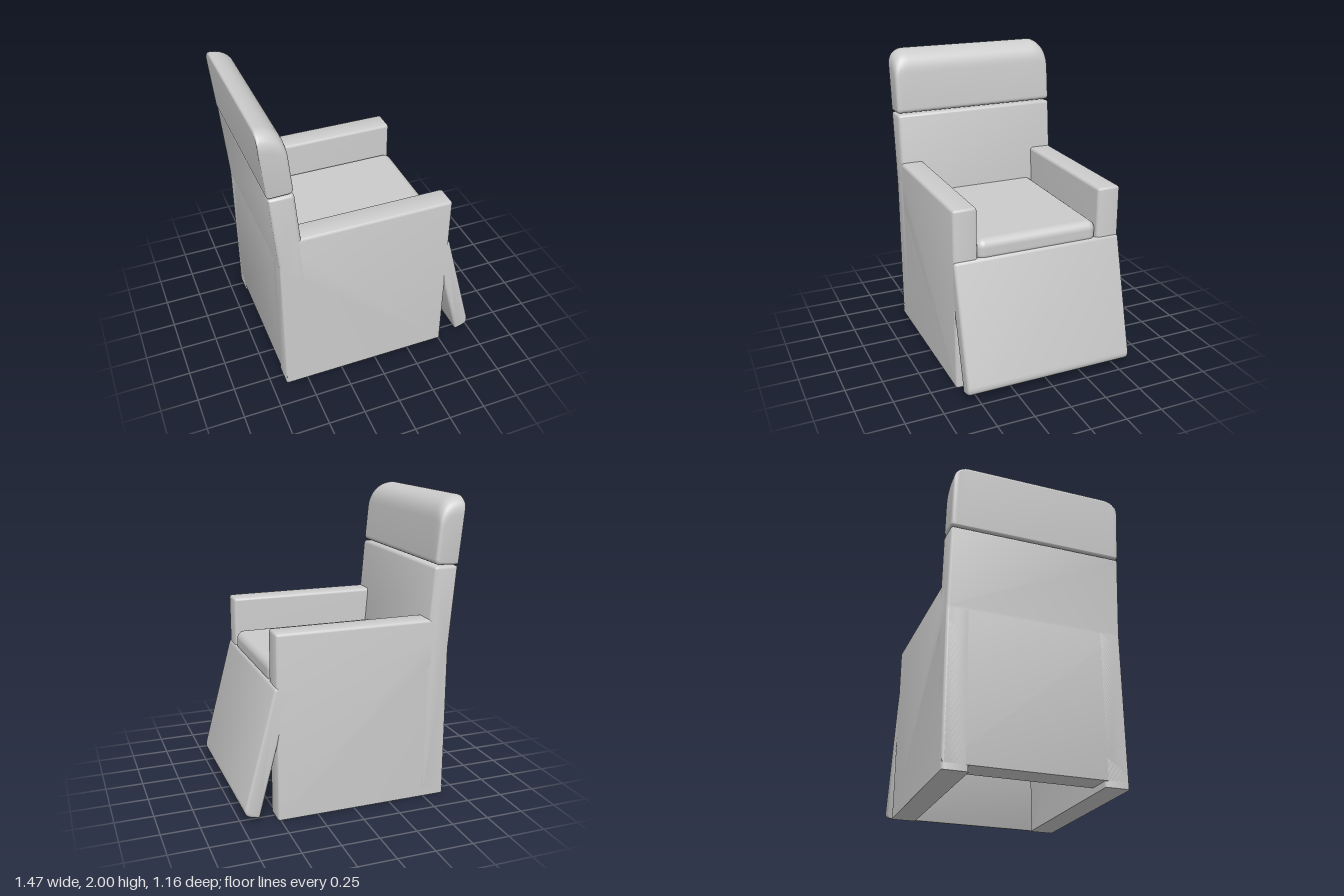
import * as THREE from 'three';
import { toCreasedNormals } from 'three/addons/utils/BufferGeometryUtils.js';
import { RoundedBoxGeometry } from 'three/addons/geometries/RoundedBoxGeometry.js';

const BEVEL = 0.02;
const HALF = 0.58; // half of the overall width

// Closed outline through [x, y, radius] corners
function roundedShape(corners) {
  const shape = new THREE.Shape();
  const n = corners.length;
  corners.forEach(([x, y, r], i) => {
    const p = new THREE.Vector2(x, y);
    const toward = (c) => new THREE.Vector2(c[0], c[1]).sub(p).setLength(r).add(p);
    const a = toward(corners[(i + n - 1) % n]);
    const b = toward(corners[(i + 1) % n]);
    if (i === 0) shape.moveTo(a.x, a.y);
    else shape.lineTo(a.x, a.y);
    shape.quadraticCurveTo(x, y, b.x, b.y);
  });
  shape.closePath();
  return shape;
}

// Side profile swept across z with softened edges; rule may move vertices
function slab(corners, z0, z1, rule, steps = 1) {
  const geometry = new THREE.ExtrudeGeometry(roundedShape(corners), {
    depth: z1 - z0 - 2 * BEVEL, steps, curveSegments: 8,
    bevelEnabled: true, bevelThickness: BEVEL, bevelSize: BEVEL,
    bevelOffset: -BEVEL, bevelSegments: 5,
  });
  geometry.translate(0, 0, z0 + BEVEL);
  if (rule) {
    const pos = geometry.attributes.position;
    const v = new THREE.Vector3();
    for (let i = 0; i < pos.count; i++) {
      rule(v.fromBufferAttribute(pos, i));
      pos.setXYZ(i, v.x, v.y, v.z);
    }
  }
  return toCreasedNormals(geometry, 0.6);
}

export function createModel() {
  const group = new THREE.Group();
  const material = new THREE.MeshStandardMaterial({ color: 0xcccccc });
  const add = (name, geometry) => {
    const mesh = new THREE.Mesh(geometry, material);
    mesh.name = name;
    group.add(mesh);
    return mesh;
  };

  // Side panels that serve as legs and armrests, cut flat at the floor
  const armProfile = [
    [-0.65, -BEVEL, 0.001], [0.515, -BEVEL, 0.001],
    [0.515, 1.225, 0.022], [-0.62, 1.225, 0.022], [-0.65, 1.02, 0.001],
  ];
  const flatten = (v) => { v.y = Math.max(0, v.y); };
  add('leftArm', slab(armProfile, 0.42, HALF, flatten));
  add('rightArm', slab(armProfile, -HALF, -0.42, flatten));

  // Backrest, upright below and leaning back above the seat
  add('backrest', slab([
    [-0.65, 0.04, 0.001], [-0.48, 0.04, 0.001], [-0.483, 0.95, 0.02],
    [-0.535, 1.565, 0.025], [-0.695, 1.56, 0.012], [-0.65, 1.02, 0.01],
  ], -HALF, HALF));

  // Headrest with rounded front top edge and rounded upper side corners
  const r = 0.1;
  const roundEnds = (v) => {
    const d = Math.min(r, Math.max(0, Math.abs(v.z) - (HALF - r)));
    const drop = r - Math.sqrt(r * r - d * d);
    v.y -= drop * THREE.MathUtils.clamp((v.y - 1.6) / 0.4, 0, 1);
  };
  add('headrest', slab([
    [-0.7, 1.567, 0.015], [-0.537, 1.572, 0.035],
    [-0.572, 1.99, 0.14], [-0.737, 2.002, 0.025],
  ], -HALF, HALF, roundEnds, 60));

  // Seat base and cushion between the arms
  add('seatBase', new THREE.BoxGeometry(0.94, 0.16, 0.86)).position.set(-0.04, 0.79, 0);
  add('seatCushion', new RoundedBoxGeometry(1.075, 0.15, 0.84, 6, 0.055))
    .position.set(-0.0225, 0.925, 0);

  // Sloping footrest panel
  add('footrest', slab([
    [0.42, 0.862, 0.01], [0.635, 0.035, 0.01],
    [0.743, 0.06, 0.06], [0.522, 0.892, 0.025],
  ], -HALF, HALF));

  return group;
}
